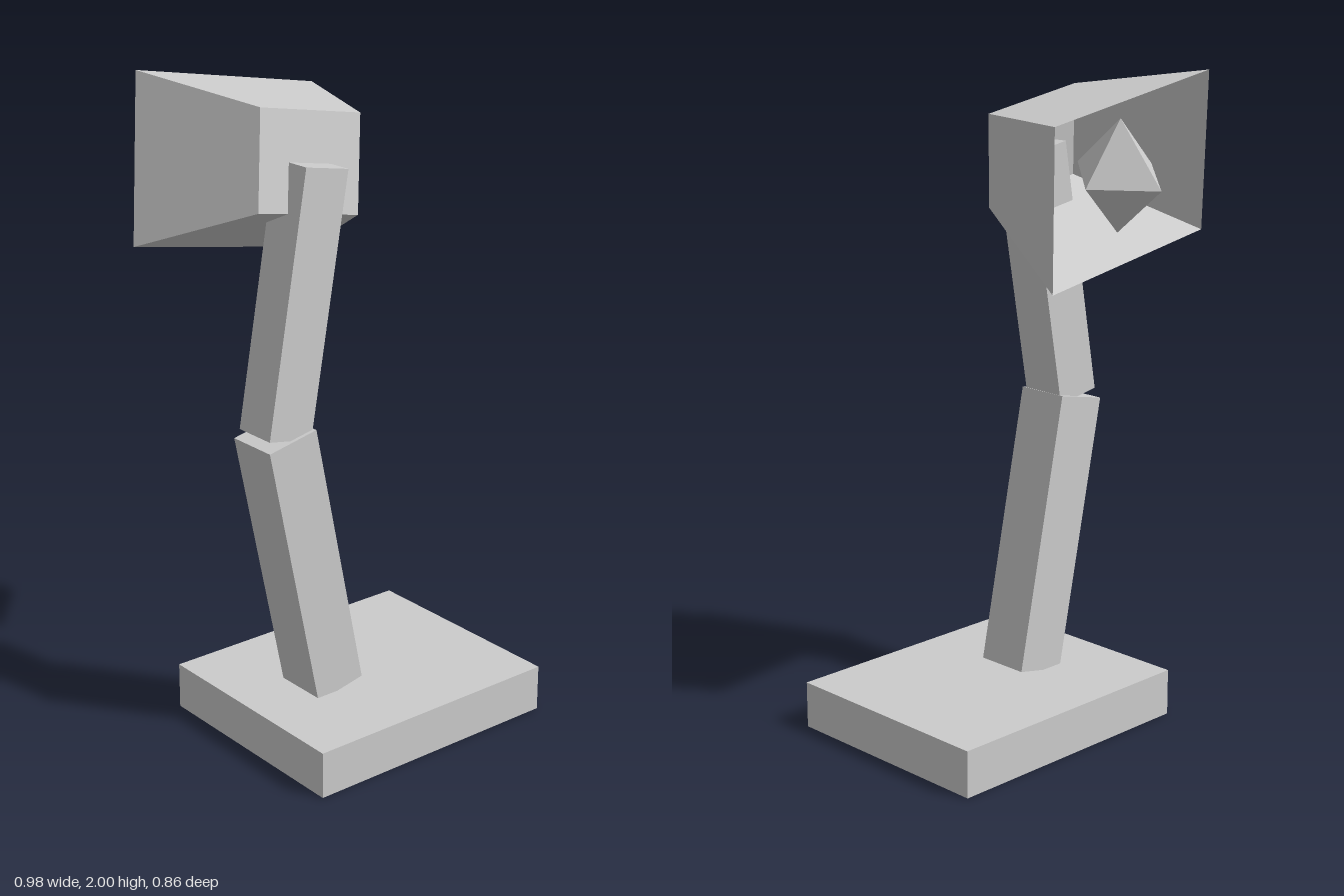
import * as THREE from 'three';

const DEG = Math.PI / 180;
const material = new THREE.MeshStandardMaterial({ color: 0xcccccc, flatShading: true });
const openMaterial = new THREE.MeshStandardMaterial({ color: 0xcccccc, flatShading: true, side: THREE.DoubleSide });

function box(name, size, position, lean = 0) {
  const mesh = new THREE.Mesh(new THREE.BoxGeometry(...size), material);
  mesh.name = name;
  mesh.position.set(...position);
  mesh.rotation.z = lean * DEG;
  return mesh;
}

// Square funnel: closed and narrow at +z, open and wide at z = 0
function shadeGeometry(width, height, depth, narrowX, narrowY) {
  const geometry = new THREE.BoxGeometry(width, height, depth);
  geometry.translate(0, 0, depth / 2);
  const p = geometry.attributes.position;
  for (let i = 0; i < p.count; i++) {
    if (p.getZ(i) > depth / 2) p.setXY(i, p.getX(i) * narrowX, p.getY(i) * narrowY);
  }
  // The last six indices are the back face, left out for the opening
  geometry.setIndex(Array.from(geometry.index.array).slice(0, 30));
  geometry.clearGroups();
  geometry.computeVertexNormals();
  return geometry;
}

export function createModel() {
  const lamp = new THREE.Group();
  lamp.name = 'deskLamp';

  // Base and the two leaning arm segments
  lamp.add(
    box('base', [0.86, 0.145, 0.715], [0.06, 0.0725, 0.0675]),
    box('lowerArm', [0.172, 0.863, 0.17], [-0.172, 0.57, 0.07], 11.7),
    box('upperArm', [0.152, 0.787, 0.143], [-0.192, 1.38, 0.0715], -9.9)
  );

  // Tilted head: the opening faces backwards
  const head = new THREE.Group();
  head.name = 'head';
  head.position.set(-0.135, 1.7025, -0.3225);
  head.rotation.set(-10 * DEG, 0, -9.8 * DEG, 'ZYX');

  const shade = new THREE.Mesh(shadeGeometry(0.644, 0.499, 0.393, 0.56, 0.58), openMaterial);
  shade.name = 'shade';

  // Faceted bulb poking out of the opening
  const bulb = new THREE.Mesh(new THREE.OctahedronGeometry(1).scale(0.14, 0.175, 0.16), material);
  bulb.name = 'bulb';
  bulb.position.z = 0.05;

  head.add(shade, bulb);
  lamp.add(head);
  return lamp;
}
